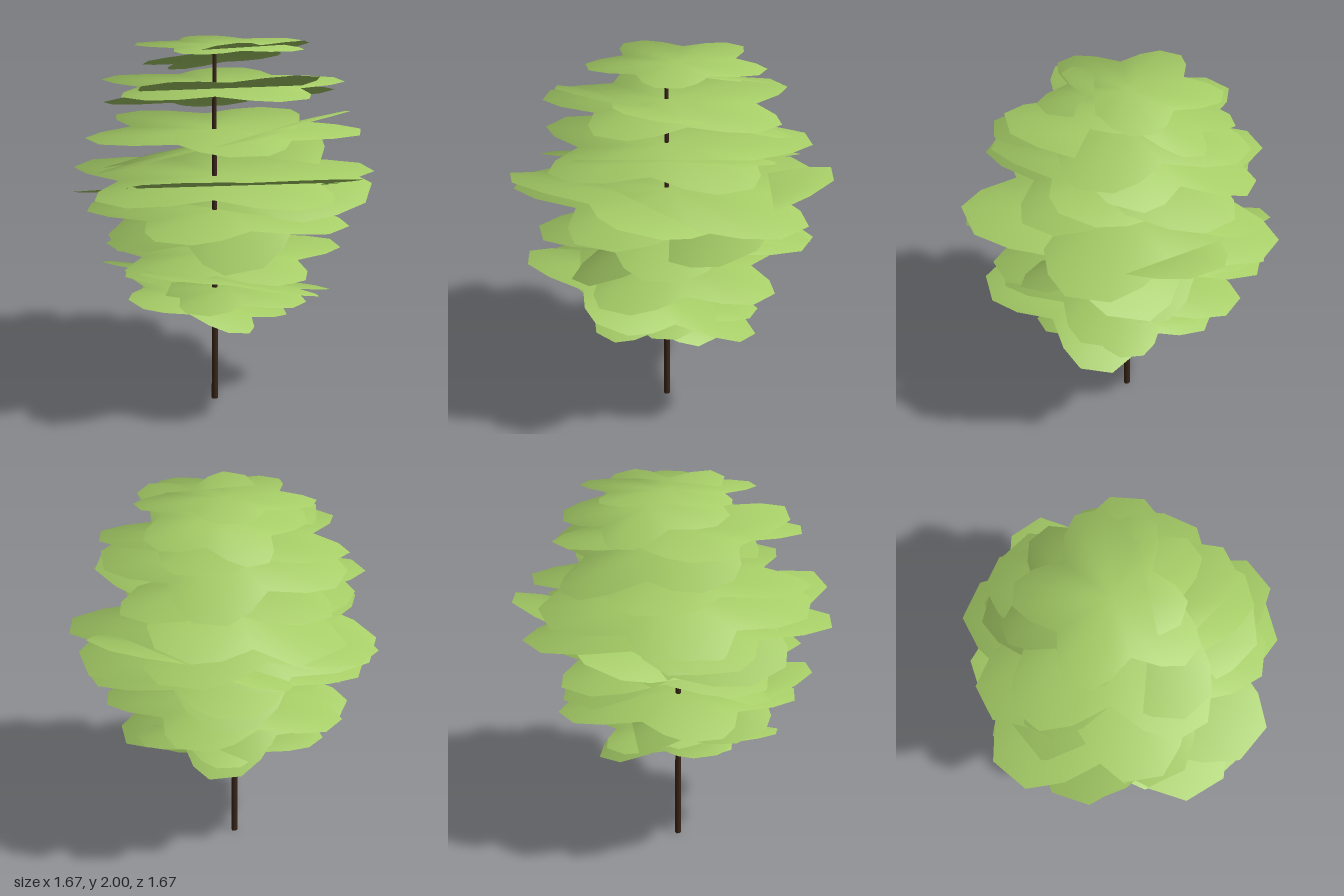
import * as THREE from 'three';

const leafMat = new THREE.MeshStandardMaterial({ color: 0xa5cc66, side: THREE.DoubleSide });
const barkMat = new THREE.MeshStandardMaterial({ color: 0x3a2618 });

// One half-lobe of the five-lobed outline: [degrees from lobe axis, radius factor]
const LOBE = [[-36, 0.66], [-19, 0.86], [-7.5, 1], [7.5, 1], [19, 0.86]];

// Thin five-lobed leaf sheet lying on a tilted plane, normals bent outward for a soft crown
function leafSheet([x, y, z, radius, phase, slopeX, slopeZ]) {
  const positions = [0, 0, 0];
  const up = new THREE.Vector3(-slopeX, 1, -slopeZ).normalize();
  const normals = [...up.toArray()];
  const index = [];
  const count = 5 * LOBE.length;
  for (let i = 0; i < count; i++) {
    const [deg, factor] = LOBE[i % LOBE.length];
    const a = THREE.MathUtils.degToRad(phase + 72 * Math.floor(i / LOBE.length) + deg);
    const px = Math.cos(a) * radius * factor;
    const pz = Math.sin(a) * radius * factor;
    positions.push(px, px * slopeX + pz * slopeZ, pz);
    const n = up.clone().add(new THREE.Vector3(Math.cos(a), 0, Math.sin(a)).multiplyScalar(0.6));
    normals.push(...n.normalize().toArray());
    index.push(0, 1 + ((i + 1) % count), 1 + i);
  }
  const geo = new THREE.BufferGeometry();
  geo.setAttribute('position', new THREE.Float32BufferAttribute(positions, 3));
  geo.setAttribute('normal', new THREE.Float32BufferAttribute(normals, 3));
  geo.setIndex(index);
  const mesh = new THREE.Mesh(geo, leafMat);
  mesh.position.set(x, y, z);
  return mesh;
}

// Sheets from the top down: x, y, z, radius, lobe angle, slope along x, slope along z
const LEVEL_SHEETS = [
  [0, 1.955, -0.03, 0.46, 5, 0, 0],
  [0, 1.755, 0, 0.655, 169, 0, 0],
  [0, 1.52, 0, 0.73, 191, 0, 0],
  [0, 1.27, 0, 0.83, 169, 0, 0],
  [0, 1.085, -0.03, 0.73, 5, 0, 0],
  [0, 0.85, 0, 0.655, 169, 0, 0],
  [0.04, 0.65, -0.01, 0.47, 5, 0, 0],
];
const TILTED_SHEETS = [
  [-0.05, 1.886, -0.12, 0.44, -16, 0.24, 0.13],
  [-0.02, 1.7, -0.04, 0.63, 16, 0.2, 0.19],
  [-0.04, 1.44, 0, 0.71, 34, 0.284, 0],
  [0.05, 1.22, 0.04, 0.79, 7, 0.175, 0.21],
  [0.03, 1.133, -0.13, 0.71, -16, 0, -0.35],
  [0.08, 0.75, 0.13, 0.63, 14, 0.02, 0.28],
  [-0.06, 0.61, 0.1, 0.46, 32, -0.2, 0.1],
];

export function createModel() {
  const tree = new THREE.Group();
  tree.name = 'tree';

  // Slim tapering trunk
  const trunk = new THREE.Mesh(new THREE.CylinderGeometry(0.01, 0.018, 1.94, 6), barkMat);
  trunk.name = 'trunk';
  trunk.position.set(-0.025, 0.97, 0.025);
  tree.add(trunk);

  // Crown of alternating level and tilted sheets
  const crown = new THREE.Group();
  crown.name = 'crown';
  for (const [name, sheets] of [['levelLeafSheet', LEVEL_SHEETS], ['tiltedLeafSheet', TILTED_SHEETS]]) {
    sheets.forEach((spec, i) => {
      const sheet = leafSheet(spec);
      sheet.name = name + (i + 1);
      crown.add(sheet);
    });
  }
  tree.add(crown);
  return tree;
}
